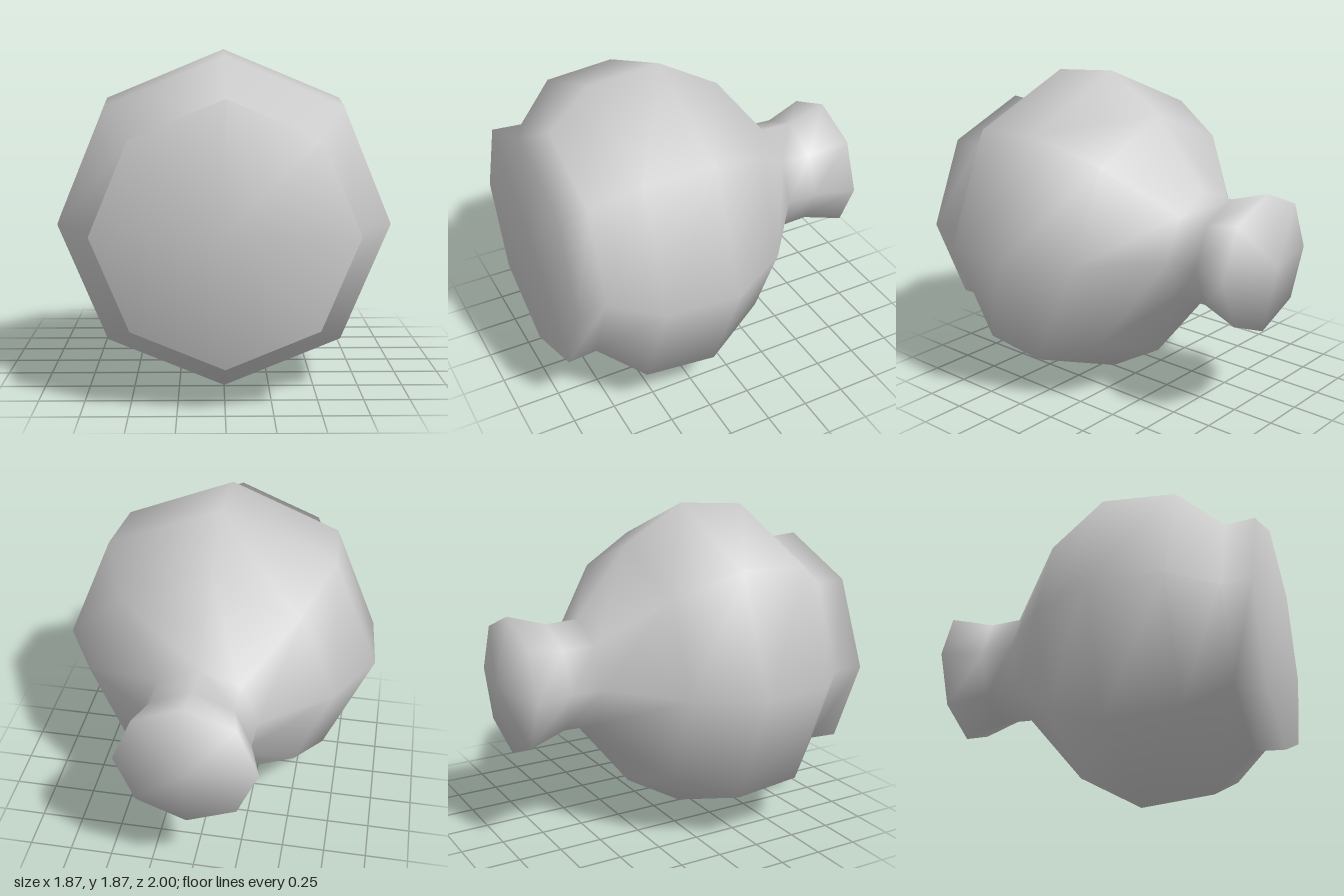
import * as THREE from 'three';
import { mergeVertices } from 'three/addons/utils/BufferGeometryUtils.js';

export function createModel() {
  const group = new THREE.Group();
  group.name = 'flask';
  const grey = new THREE.MeshStandardMaterial({ color: 0xcccccc });
  grey.name = 'grey';

  // Profile as [radius, z], from the pointed back end to the flat front
  const profile = [
    [0, -1], [0.395, -0.92], [0.322, -0.69], [0.328, -0.5], [0.725, -0.18],
    [0.935, 0.18], [0.9, 0.595], [0.68, 0.83], [0.69, 1], [0, 1],
  ].map(([r, z]) => new THREE.Vector2(r, z));

  // Eight-sided turned body lying along z
  let geometry = new THREE.LatheGeometry(profile, 8);
  geometry.rotateX(Math.PI / 2);
  geometry.translate(0, 0.937, 0);

  // Weld the seam and poles so the shading is smooth all over
  geometry.deleteAttribute('normal');
  geometry.deleteAttribute('uv');
  geometry = mergeVertices(geometry, 1e-4);
  geometry.computeVertexNormals();

  const body = new THREE.Mesh(geometry, grey);
  body.name = 'flaskBody';
  group.add(body);
  return group;
}
